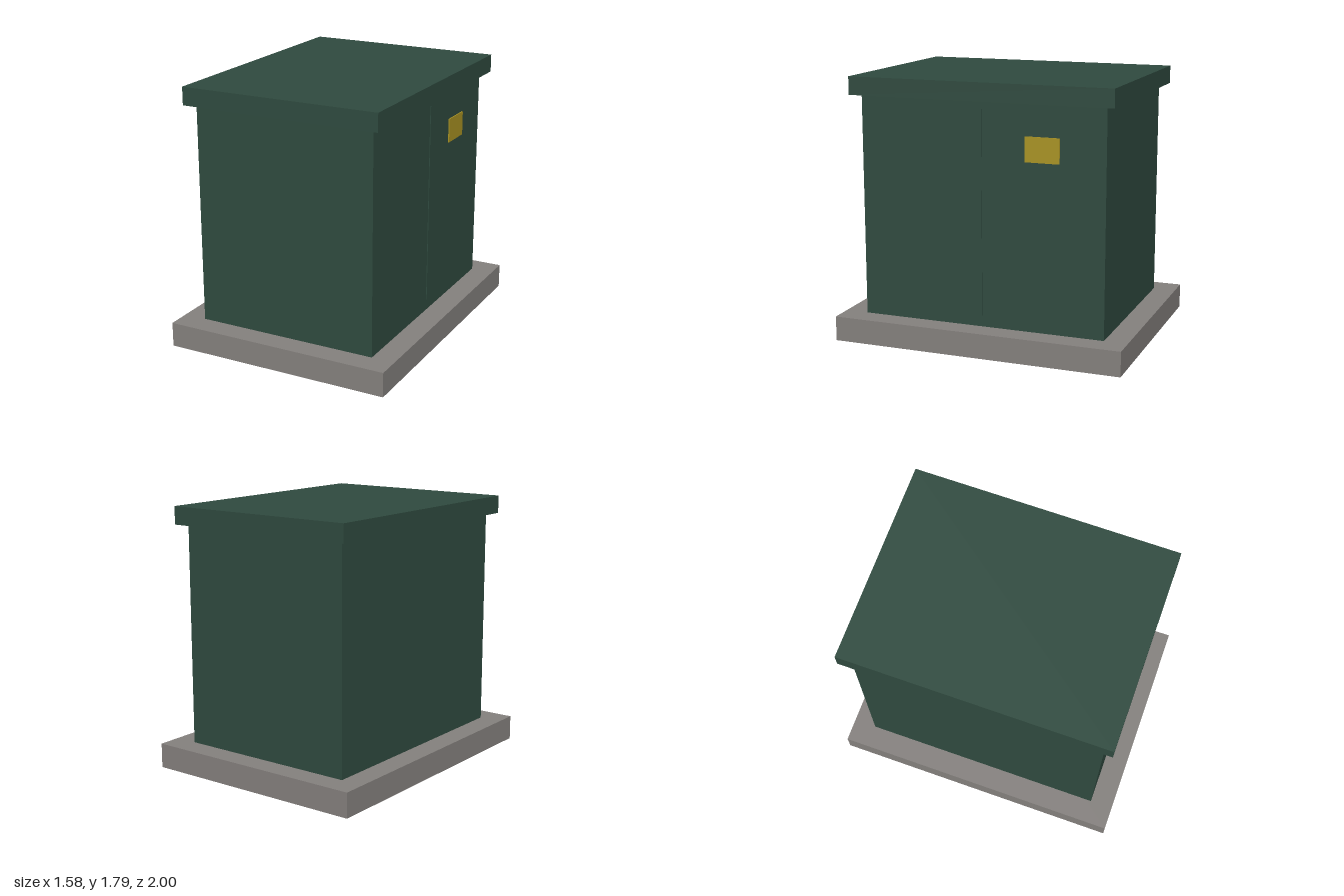
import * as THREE from 'three';

export function createModel() {
  const model = new THREE.Group();
  model.name = 'utilityKiosk';

  const material = (name, color) => {
    const m = new THREE.MeshStandardMaterial({ color });
    m.name = name;
    return m;
  };
  const green = material('dark green paint', 0x2f4a3f);
  const concrete = material('grey concrete', 0x84807d);
  const yellow = material('warning yellow', 0xa89222);

  // Box given by its [min, max] extent on each axis
  const box = (name, mat, [x0, x1], [y0, y1], [z0, z1]) => {
    const mesh = new THREE.Mesh(new THREE.BoxGeometry(x1 - x0, y1 - y0, z1 - z0), mat);
    mesh.position.set((x0 + x1) / 2, (y0 + y1) / 2, (z0 + z1) / 2);
    mesh.name = name;
    model.add(mesh);
  };

  // Plinth, cabinet and overhanging roof
  box('plinth', concrete, [-0.79, 0.79], [0, 0.168], [-1, 1]);
  box('cabinet', green, [-0.632, 0.632], [0.168, 1.668], [-0.842, 0.842]);
  box('roof', green, [-0.693, 0.693], [1.668, 1.79], [-0.905, 0.905]);

  // Strip where the double doors meet, and the warning plate
  box('doorSeam', green, [0.63, 0.637], [0.245, 1.612], [-0.008, 0.008]);
  box('warningPlate', yellow, [0.631, 0.64], [1.29, 1.455], [-0.536, -0.305]);

  return model;
}
